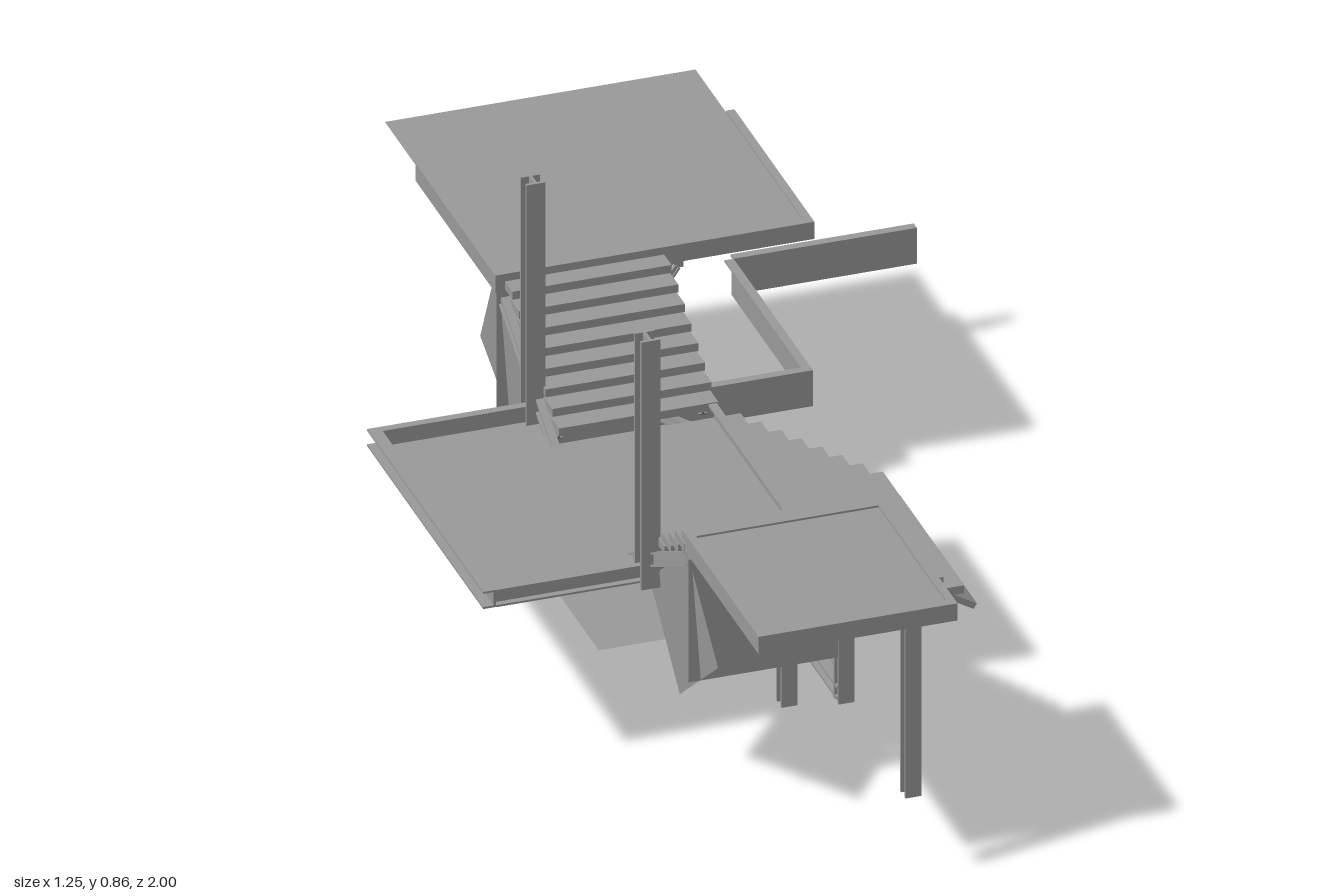
import * as THREE from 'three';

const V = (x, y, z) => new THREE.Vector3(x, y, z);
const UP = V(0, 1, 0);

export function createModel() {
  const model = new THREE.Group();
  const color = 0x9b9b9b;
  const mat = new THREE.MeshStandardMaterial({ color, flatShading: true });
  const thin = new THREE.MeshStandardMaterial({ color, flatShading: true, side: THREE.DoubleSide });

  const add = (name, geo, parent = model, m = mat) => {
    const mesh = new THREE.Mesh(geo, m);
    mesh.name = name;
    parent.add(mesh);
    return mesh;
  };
  const box = (name, x0, x1, y0, y1, z0, z1, parent) =>
    add(name, new THREE.BoxGeometry(x1 - x0, y1 - y0, z1 - z0), parent)
      .position.set((x0 + x1) / 2, (y0 + y1) / 2, (z0 + z1) / 2);

  // Flat four-cornered sheet
  const sheet = (name, corners) => {
    const g = new THREE.BufferGeometry().setFromPoints(corners);
    g.setIndex([0, 1, 2, 0, 2, 3]);
    g.computeVertexNormals();
    add(name, g, model, thin);
  };
  const floor = (name, x0, x1, z0, z1, y) =>
    sheet(name, [V(x0, y, z0), V(x0, y, z1), V(x1, y, z1), V(x1, y, z0)]);

  // Steel sections, swept from a to b
  const poly = pts => new THREE.Shape(pts.map(p => new THREE.Vector2(...p)));
  const channel = (w, h, t) =>
    poly([[0, 0], [w, 0], [w, t], [t, t], [t, h - t], [w, h - t], [w, h], [0, h]]);
  const angle = (w, h, t) => poly([[0, 0], [t, 0], [t, h - t], [w, h - t], [w, h], [0, h]]);
  const iBeam = (w, h, t) => {
    const a = w / 2, b = h / 2, c = t / 2;
    return poly([[-a, -b], [a, -b], [a, t - b], [c, t - b], [c, b - t], [a, b - t],
      [a, b], [-a, b], [-a, b - t], [-c, b - t], [-c, t - b], [-a, t - b]]);
  };
  const beam = (name, shape, a, b, up = UP, parent = model) => {
    const dir = b.clone().sub(a);
    const geo = new THREE.ExtrudeGeometry(shape, { depth: dir.length(), bevelEnabled: false });
    dir.normalize();
    const side = up.clone().cross(dir).normalize();
    geo.applyMatrix4(new THREE.Matrix4().makeBasis(side, dir.clone().cross(side), dir).setPosition(a));
    add(name, geo, parent);
  };
  // Edge section run through [x, z] points
  const rim = (name, shape, y, pts) => {
    for (let i = 1; i < pts.length; i++)
      beam(name, shape, V(pts[i - 1][0], y, pts[i - 1][1]), V(pts[i][0], y, pts[i][1]));
  };
  const post = (name, x, z, y0, y1, w = 0.03, d = 0.03) =>
    beam(name, iBeam(w, d, 0.006), V(x, y0, z), V(x, y1, z), V(0, 0, 1));

  // Upper platforms: floor sheets with channel rims
  const edge = channel(0.016, 0.035, 0.004);
  floor('frontPlatformFloor', -0.31, 0.065, 0.6, 1, 0.543);
  rim('frontPlatformRim', edge, 0.515, [[-0.31, 0.6], [-0.31, 1], [0.065, 1], [0.065, 0.6], [-0.31, 0.6]]);
  floor('backPlatformFloor', -0.32, 0.265, -1, -0.4, 0.547);
  rim('backPlatformRim', edge, 0.515, [[-0.32, -0.835], [-0.32, -0.4], [0.281, -0.4], [0.281, -0.835]]);

  // Landing and its side extension, with outward-facing channels
  const wide = channel(0.024, 0.035, 0.004);
  floor('sidePlatformFloor', -0.597, -0.3, -0.205, 0.395, 0.357);
  box('sidePlatformPlate', -0.58, -0.3, 0.345, 0.355, -0.2, 0.39);
  beam('sidePlatformRim', wide, V(-0.6, 0.353, 0.41), V(-0.6, 0.353, -0.22));
  beam('sidePlatformRim', edge, V(-0.3, 0.353, 0.395), V(-0.6, 0.353, 0.395));
  beam('sidePlatformRim', edge, V(-0.6, 0.353, -0.204), V(-0.3, 0.353, -0.204));
  floor('landingFloor', -0.3, -0.005, -0.11, 0.31, 0.357);
  beam('landingBeam', edge, V(-0.005, 0.353, 0.31), V(-0.005, 0.353, -0.11));

  // Lower deck and stepped kerb
  floor('lowerFloor', -0.375, -0.03, -0.4, 0.32, 0.176);
  rim('lowerKerb', angle(0.017, 0.073, 0.004), 0.172,
    [[-0.465, -0.405], [0.28, -0.405], [0.28, -0.836], [0.625, -0.836]]);

  // Posts
  post('frontPlatformPost', -0.018, 0.985, 0.17, 0.515);
  post('tallFrontPost', -0.316, 0.413, 0.35, 0.855, 0.036, 0.04);
  post('tallBackPost', -0.316, -0.208, 0.35, 0.847, 0.036, 0.036);

  // Stairs: local +x runs down the flight, origin at the top
  const stair = (name, x, y, z, turn, run, drop, width, n) => {
    const g = new THREE.Group();
    g.name = name;
    g.position.set(x, y, z);
    g.rotation.y = turn;
    model.add(g);
    for (let i = 0; i < n; i++) {
      const tx = run * i / n, ty = -drop * i / (n - 1);
      box('tread', tx - 0.012, tx + run / n + 0.004, ty - 0.016, ty, -width / 2, width / 2, g);
    }
    for (const s of [-1, 1])
      beam('stringer', iBeam(0.015, 0.026, 0.004), V(-0.005, -0.026, s * (width / 2 - 0.014)),
        V(run * 0.88, -drop * 1.06 - 0.028, s * (width / 2 - 0.014)), UP, g);
    return g;
  };
  const side = stair('sideStair', 0.002, 0.352, 0.102, 0, 0.306, 0.168, 0.44, 8);
  const slab = poly([[-0.21, -0.006], [0.21, -0.006], [0.21, 0.006], [-0.21, 0.006]]);
  beam('stairUnderside', slab, V(0, -0.026, 0), V(0.335, -0.22, 0), UP, side);
  stair('frontStair', -0.152, 0.535, 0.6, Math.PI / 2, 0.29, 0.145, 0.3, 8);
  stair('backStair', -0.152, 0.535, -0.4, -Math.PI / 2, 0.29, 0.145, 0.3, 8);

  // Support frames below both flights
  for (const [inner, outer, s] of [[0.312, 0.622, 1], [-0.107, -0.395, -1]]) {
    const x = -0.018;
    post('landingPost', x, inner, 0, 0.35);
    post('stairPost', x, outer, 0.17, 0.515);
    beam('tieBeam', iBeam(0.028, 0.028, 0.006), V(x, 0.186, inner), V(x, 0.186, outer));
    beam('diagonalBrace', iBeam(0.014, 0.016, 0.005), V(x, 0.215, outer), V(x, 0.325, inner));
    beam('crossBeam', iBeam(0.02, 0.028, 0.005), V(-0.3, 0.335, inner), V(x, 0.335, inner));
    beam('outerStringer', iBeam(0.015, 0.026, 0.004), V(-0.309, 0.505, outer - s * 0.01), V(-0.309, 0.345, inner));
    beam('kneeBrace', iBeam(0.01, 0.012, 0.004), V(-0.03, 0.44, outer), V(0.02, 0.51, outer));
    box('kneeBracket', -0.01, 0.035, 0.503, 0.515, outer + s * 0.012 - 0.006, outer + s * 0.012 + 0.006);
    // End panel under the platform edge
    const z = outer + s * 0.012;
    sheet('endPanel', [V(-0.315, 0.265, z), V(-0.03, 0.265, z), V(-0.03, 0.515, z), V(-0.315, 0.515, z)]);
  }

  // Slanted side panels beside the flights
  const panel = pts => sheet('slantedPanel', pts.map(([z, y]) => V(-0.285 - 0.07 * (y - 0.17), y, z)));
  panel([[0.61, 0.52], [0.745, 0.35], [0.5, 0.165], [0.37, 0.335]]);
  panel([[-0.44, 0.52], [-0.548, 0.345], [-0.315, 0.2], [-0.207, 0.375]]);

  return model;
}
